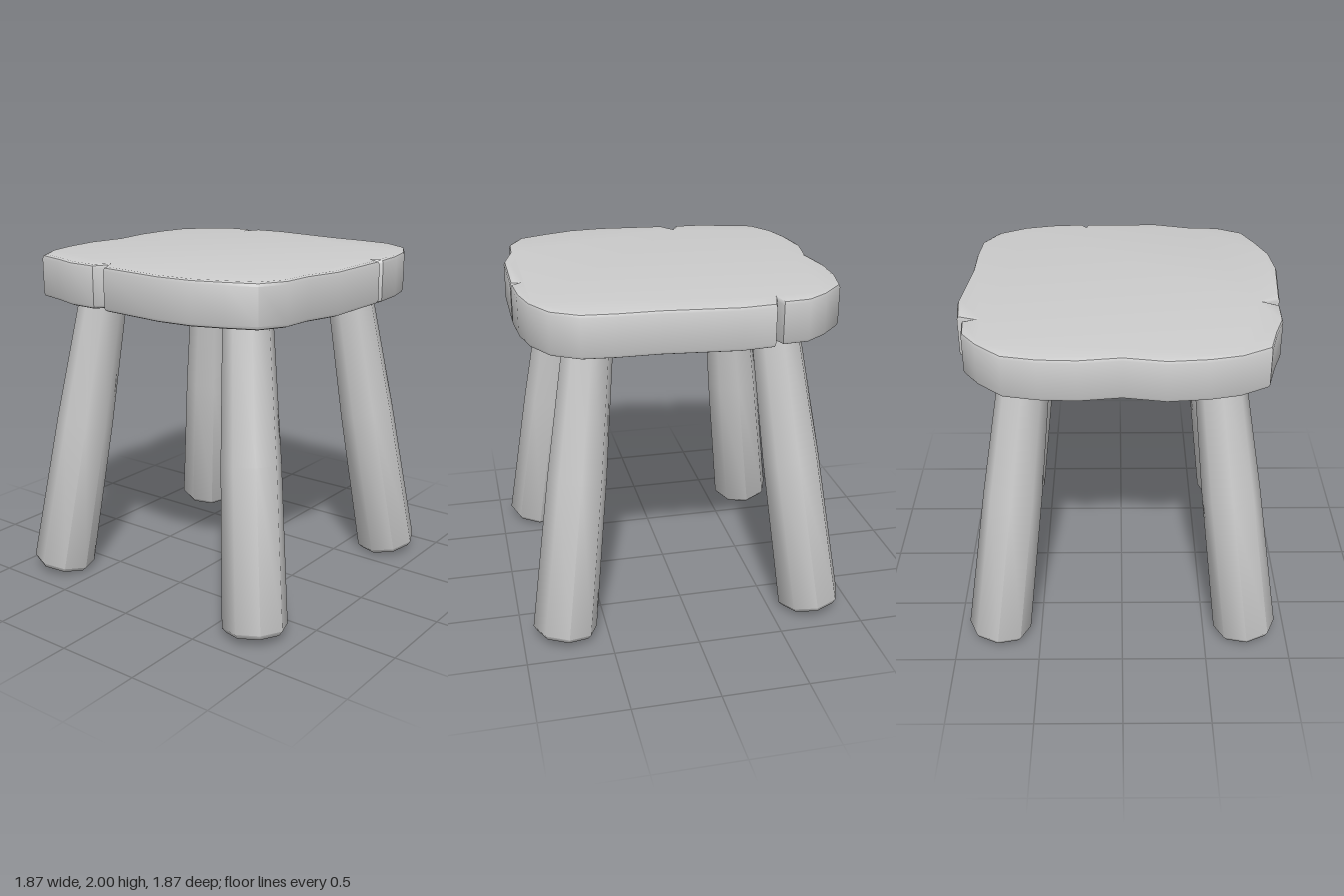
import * as THREE from 'three';
import { toCreasedNormals } from 'three/addons/utils/BufferGeometryUtils.js';

const material = new THREE.MeshStandardMaterial({ color: 0xcccccc });

// Uneven slab outline (x, z) with three split notches
const outline = [
  [-0.78, -0.78], [-0.62, -0.87], [-0.45, -0.91], [-0.23, -0.93], [0, -0.89],
  [0.23, -0.92], [0.44, -0.91], [0.63, -0.87], [0.77, -0.74], [0.855, -0.62],
  [0.87, -0.47], [0.80, -0.45], [0.90, -0.42], // right-hand split
  [0.92, -0.23], [0.88, 0.2], [0.88, 0.43], [0.865, 0.62], [0.775, 0.77],
  [0.61, 0.86], [0.44, 0.90],
  [0.25, 0.915], [0.225, 0.875], [0.21, 0.915], // front split
  [-0.23, 0.915], [-0.44, 0.86], [-0.62, 0.85], [-0.77, 0.77], [-0.84, 0.61],
  [-0.905, 0.43], [-0.925, 0.22],
  [-0.89, -0.19], [-0.80, -0.24], [-0.88, -0.28], // left-hand split
  [-0.875, -0.46], [-0.825, -0.61],
];

function createSeat() {
  const bevel = 0.022;
  const shape = new THREE.Shape(outline.map(([x, z]) => new THREE.Vector2(x, z)));
  const geometry = new THREE.ExtrudeGeometry(shape, {
    depth: 0.25 - 2 * bevel,
    bevelThickness: bevel,
    bevelSize: bevel,
    bevelOffset: -bevel,
    bevelSegments: 2,
  });
  geometry.rotateX(Math.PI / 2);
  geometry.translate(0, 2 - bevel, 0);
  const seat = new THREE.Mesh(toCreasedNormals(geometry, 0.7), material);
  seat.name = 'seat';
  return seat;
}

// Eight-sided tapered leg with a softened foot
function createLegGeometry() {
  const profile = [[0, 0], [0.165, 0], [0.187, 0.028], [0.17, 0.95], [0.137, 1.83]];
  const geometry = new THREE.LatheGeometry(profile.map(([r, y]) => new THREE.Vector2(r, y)), 8);
  return toCreasedNormals(geometry, 0.95);
}

export function createModel() {
  const group = new THREE.Group();
  group.name = 'stool';
  group.add(createSeat());

  // Four legs splayed outward towards the corners
  const legGeometry = createLegGeometry();
  const up = new THREE.Vector3(0, 1, 0);
  for (const [name, sx, sz] of [
    ['frontLeftLeg', 1, 1], ['frontRightLeg', -1, 1],
    ['backLeftLeg', 1, -1], ['backRightLeg', -1, -1],
  ]) {
    const leg = new THREE.Mesh(legGeometry, material);
    leg.name = name;
    leg.position.set(0.752 * sx, 0.03, 0.752 * sz);
    const axis = new THREE.Vector3(-0.22 * sx, 1.72, -0.22 * sz).normalize();
    leg.quaternion.setFromUnitVectors(up, axis);
    group.add(leg);
  }
  return group;
}
